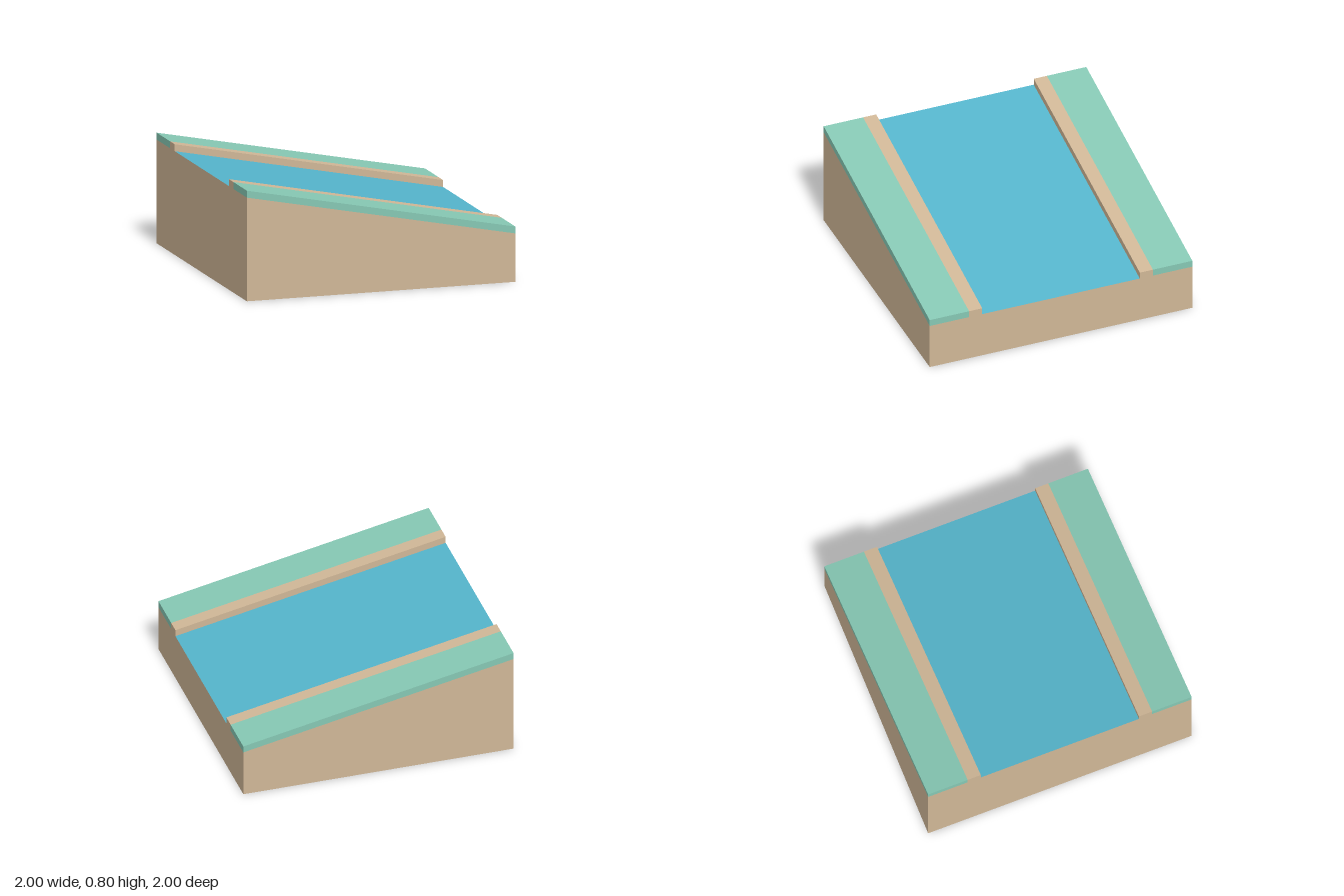
import * as THREE from 'three';

const material = (name, color) => {
  const m = new THREE.MeshStandardMaterial({ color });
  m.name = name;
  return m;
};

// Height of the sloping ground, falling towards +x
const slope = (x) => 0.6 - 0.2 * x;
const DEPTH = 0.05;
const FACES = ['right', 'left', 'top', 'bottom', 'front', 'back'];

// Box between z0 and z1 whose top follows the slope, keeping only the listed faces
function slab(name, mat, z0, z1, low, high, keep) {
  const box = new THREE.BoxGeometry(2, 1, z1 - z0);
  const all = Array.from(box.index.array);
  box.setIndex(FACES.flatMap((f, i) => (keep.includes(f) ? all.slice(i * 6, i * 6 + 6) : [])));
  box.clearGroups();
  const geo = box.toNonIndexed();
  const p = geo.attributes.position;
  for (let i = 0; i < p.count; i++) {
    const x = p.getX(i);
    p.setY(i, p.getY(i) > 0 ? high(x) : low(x));
    p.setZ(i, p.getZ(i) + (z0 + z1) / 2);
  }
  geo.computeVertexNormals();
  const mesh = new THREE.Mesh(geo, mat);
  mesh.name = name;
  return mesh;
}

export function createModel() {
  const soil = material('soil', 0xd0b797);
  const grass = material('grass', 0x86c8b4);
  const water = material('water', 0x55b5cc);
  const bed = (x) => slope(x) - DEPTH;
  const ground = () => 0;

  const group = new THREE.Group();
  group.name = 'riverSlope';

  // Wedge of soil and the river surface closing its top
  group.add(slab('soilBase', soil, -1, 1, ground, bed, ['right', 'left', 'bottom', 'front', 'back']));
  group.add(slab('riverSurface', water, -0.6, 0.6, ground, bed, ['top']));

  // Raised soil lip and grass strip on each bank
  group.add(slab('frontBankLip', soil, 0.6, 0.7, bed, slope, ['right', 'left', 'top', 'back']));
  group.add(slab('frontGrass', grass, 0.7, 1, bed, slope, ['right', 'left', 'top', 'front']));
  group.add(slab('backBankLip', soil, -0.7, -0.6, bed, slope, ['right', 'left', 'top', 'front']));
  group.add(slab('backGrass', grass, -1, -0.7, bed, slope, ['right', 'left', 'top', 'back']));

  return group;
}
